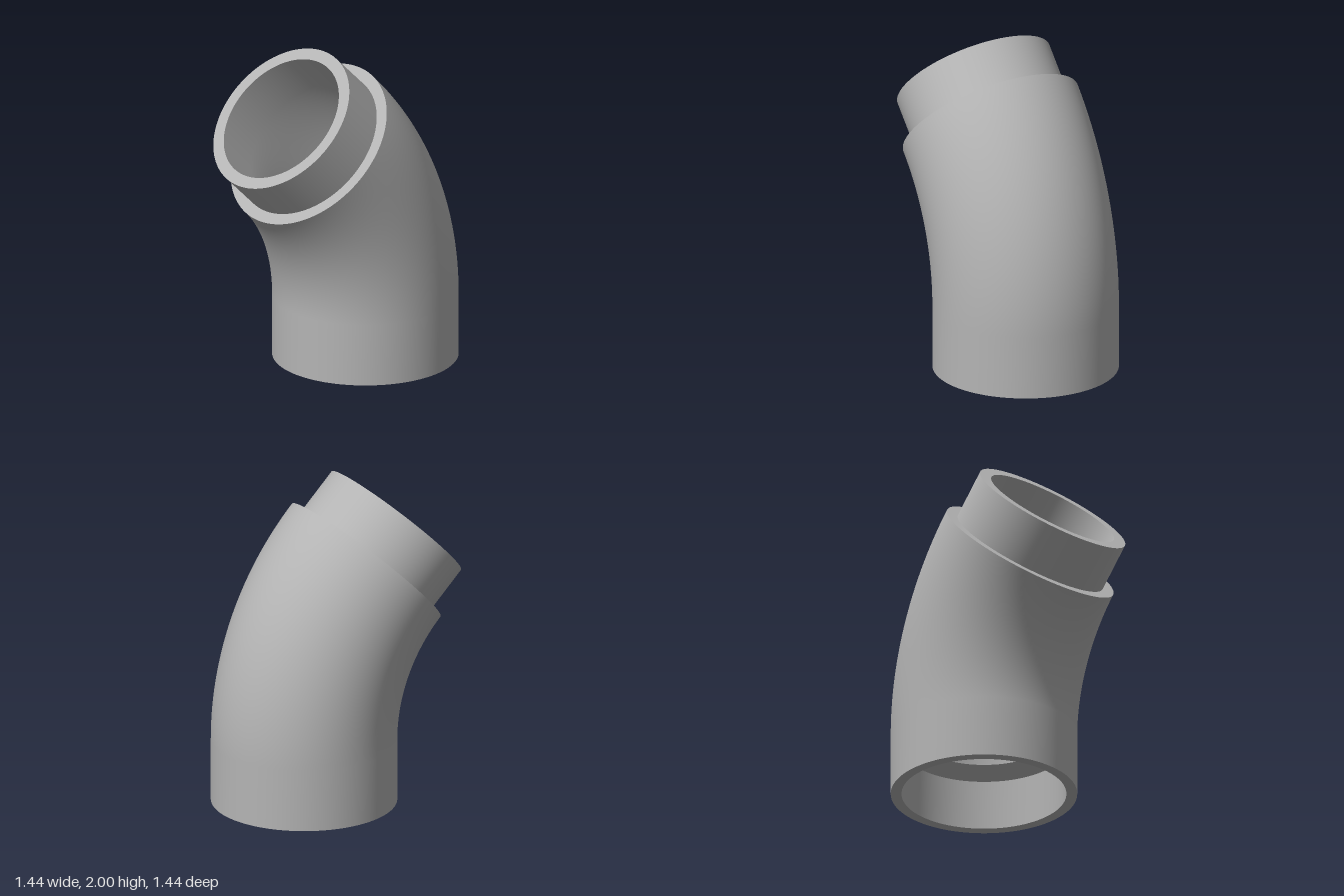
import * as THREE from 'three';

const SEG = 128;            // segments around the pipe
const BASE = 0.384;         // straight length below the bend
const BEND_R = 1.497;       // centreline radius of the bend
const BEND = Math.PI / 4;   // bend angle
const ARC = BEND_R * BEND;
const SHOULDER = BASE + ARC;
const END = SHOULDER + 0.3; // tip of the spigot
const OUTER = 0.56, SOCKET = 0.495, SPIGOT = 0.488, BORE = 0.413;

// Centreline position and tilt at distance s from the base
function frameAt(s) {
  const a = Math.min(Math.max((s - BASE) / BEND_R, 0), BEND);
  const extra = s < BASE ? s - BASE : Math.max(s - SHOULDER, 0);
  return {
    y: BASE + BEND_R * Math.sin(a) + extra * Math.cos(a),
    z: BEND_R * (1 - Math.cos(a)) + extra * Math.sin(a),
    a,
  };
}

// Smooth skin through rings given as [distance, radius]; outward when distances rise
function skin(rings) {
  const pos = [], index = [];
  rings.forEach(([s, r], i) => {
    const { y, z, a } = frameAt(s);
    for (let j = 0; j < SEG; j++) {
      const p = (j / SEG) * Math.PI * 2;
      const n = r * Math.sin(p);
      pos.push(r * Math.cos(p), y - n * Math.sin(a), z + n * Math.cos(a));
      if (i === rings.length - 1) continue;
      const k = (j + 1) % SEG, lo = i * SEG, hi = lo + SEG;
      index.push(lo + j, hi + j, lo + k, lo + k, hi + j, hi + k);
    }
  });
  const g = new THREE.BufferGeometry();
  g.setAttribute('position', new THREE.Float32BufferAttribute(pos, 3));
  g.setIndex(index);
  g.computeVertexNormals();
  return g;
}

// Rings of one radius that follow the bend
function bendRings(radius, steps = 40) {
  return Array.from({ length: steps + 1 }, (_, i) => [BASE + (ARC * i) / steps, radius]);
}

export function createModel() {
  const model = new THREE.Group();
  model.name = 'pipeElbow';
  const grey = new THREE.MeshStandardMaterial({ color: 0xb4b4b4 });
  grey.name = 'grey';

  const parts = {
    // outside, from the base up to the tip
    outerBody: [[0, OUTER], ...bendRings(OUTER)],
    shoulderFace: [[SHOULDER, OUTER], [SHOULDER, SPIGOT]],
    spigotWall: [[SHOULDER, SPIGOT], [END, SPIGOT]],
    spigotRim: [[END, SPIGOT], [END, BORE]],
    // inside, from the tip back down
    bore: [[END, BORE], ...bendRings(BORE).reverse()],
    socketTaper: [[BASE, BORE], [0.31, SOCKET]],
    socketWall: [[0.31, SOCKET], [0, SOCKET]],
    socketRim: [[0, SOCKET], [0, OUTER]],
  };
  for (const [name, rings] of Object.entries(parts)) {
    const mesh = new THREE.Mesh(skin(rings), grey);
    mesh.name = name;
    model.add(mesh);
  }

  // bend leans towards the front right
  model.rotation.y = -Math.PI / 4;
  model.position.set(0.16, 0, -0.16);
  return model;
}
